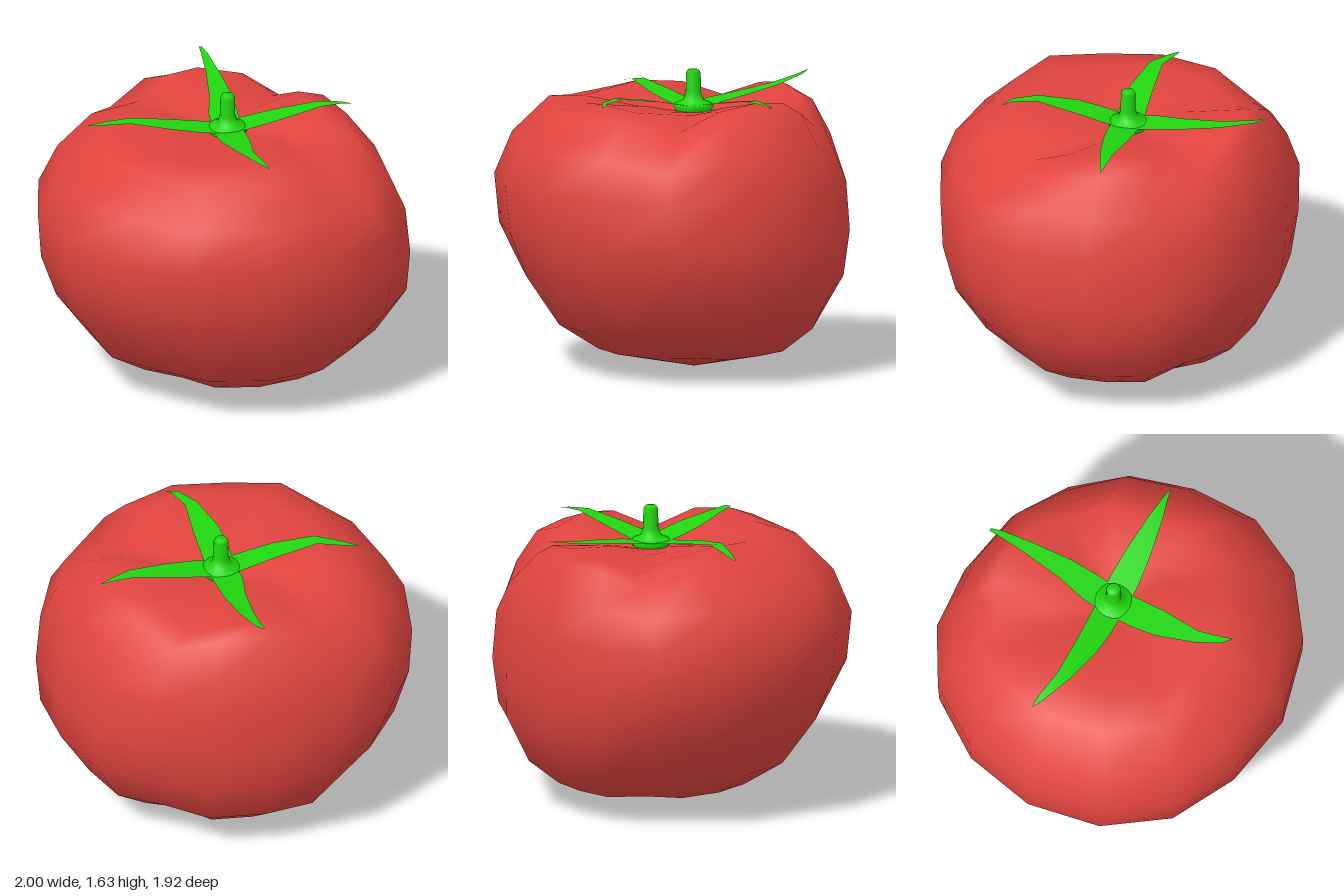
import * as THREE from 'three';
import { mergeVertices } from 'three/addons/utils/BufferGeometryUtils.js';

const RED = new THREE.MeshStandardMaterial({ color: 0xe0443f });
const GREEN = new THREE.MeshStandardMaterial({ color: 0x20d60f });
const LEAF = new THREE.MeshStandardMaterial({ color: 0x20d60f, side: THREE.DoubleSide });
const AXIS = { x: 0.065, z: -0.09 };

function surface(positions, indices) {
  let geometry = new THREE.BufferGeometry();
  geometry.setAttribute('position', new THREE.Float32BufferAttribute(positions, 3));
  geometry.setIndex(indices);
  geometry = mergeVertices(geometry);
  geometry.computeVertexNormals();
  return geometry;
}

// Lopsided fruit: one outline scaled into rings, with valleys on the diagonals
function fruitGeometry() {
  // [x, z] round the widest part, from +x towards +z
  const outline = [
    [0.99, -0.05], [0.98, 0.33], [0.8, 0.65], [0.47, 0.87], [0.05, 0.96], [-0.37, 0.87],
    [-0.72, 0.67], [-0.94, 0.33], [-1, -0.08], [-0.9, -0.48], [-0.67, -0.79], [-0.36, -0.95],
    [0, -0.96], [0.39, -0.87], [0.69, -0.67], [0.9, -0.4],
  ];
  // Valley depth per quadrant, in the same order
  const valleys = [0.12, -0.05, 0.08, 0.1];
  // [y, centreX, centreZ, radiusX, radiusZ, lobe height, valley share, diagonal pinch]
  const rings = [
    [0, 0.07, -0.09, 0, 0, 0, 0, 0],
    [0.12, 0.075, -0.075, 0.555, 0.545, 0, 0, 0.13],
    [0.26, 0.065, -0.055, 0.765, 0.745, 0, 0, 0.08],
    [0.52, 0.05, -0.035, 0.94, 0.895, 0, 0, 0.03],
    [0.77, 0.01, -0.01, 0.99, 0.95, 0, 0, 0],
    [1.04, -0.015, 0, 0.985, 0.96, 0, 0, 0],
    [1.25, -0.005, -0.01, 0.885, 0.89, 0, 0.5, 0],
    [1.435, 0.02, -0.05, 0.71, 0.75, 0.01, 1, 0],
    [1.477, 0.045, -0.085, 0.525, 0.635, 0.026, 0.7, 0],
    [1.44, AXIS.x, AXIS.z, 0.28, 0.3, 0.016, 0, 0],
    [1.41, AXIS.x, AXIS.z, 0.1, 0.1, 0, 0, 0],
    [1.4, AXIS.x, AXIS.z, 0, 0, 0, 0, 0],
  ];
  const sides = outline.length, last = rings.length - 1;
  const positions = [], indices = [];
  rings.forEach(([y, cx, cz, rx, rz, lobe, valley, pinch], i) => {
    outline.forEach(([ox, oz], j) => {
      const wave = Math.cos((8 * Math.PI * j) / sides);
      const diagonal = Math.max(0, -wave);
      const k = 1 - pinch * diagonal;
      const drop = valley * diagonal * valleys[Math.floor((4 * j) / sides)];
      positions.push(cx + (rx * k * (ox + 0.005)) / 0.995, y + lobe * wave - drop, cz + (rz * k * oz) / 0.96);
      const a = i * sides + j, b = i * sides + ((j + 1) % sides);
      if (i > 0 && i < last) indices.push(a, a + sides, b);
      if (i < last - 1) indices.push(b, a + sides, b + sides);
    });
  });
  return surface(positions, indices);
}

// Thin leaf along a midline of [x, y, z, half width]
function sepalGeometry(midline) {
  const positions = [], indices = [];
  const [first, last] = [midline[0], midline[midline.length - 1]];
  const along = new THREE.Vector2(last[0] - first[0], last[2] - first[2]).normalize();
  midline.forEach(([x, y, z, w], i) => {
    positions.push(x + along.y * w, y, z - along.x * w, x - along.y * w, y, z + along.x * w);
    if (i === 0) return;
    const a = 2 * i - 2;
    indices.push(a, a + 1, a + 2, a + 1, a + 3, a + 2);
  });
  return surface(positions, indices);
}

export function createModel() {
  const model = new THREE.Group();
  const add = (name, geometry, material) => {
    const mesh = new THREE.Mesh(geometry, material);
    mesh.name = name;
    model.add(mesh);
    return mesh;
  };

  add('fruit', fruitGeometry(), RED);

  // Stem with its flared foot
  const profile = [[0.1, 1.41], [0.112, 1.435], [0.1, 1.447], [0.055, 1.468], [0.042, 1.51],
    [0.04, 1.615], [0.03, 1.632], [0, 1.635]].map(([r, y]) => new THREE.Vector2(r, y));
  add('stem', new THREE.LatheGeometry(profile, 16), GREEN).position.set(AXIS.x, 0, AXIS.z);

  // Four sepals
  const sepals = {
    leftSepal: [[0.06, 1.43, -0.09, 0.08], [0.2, 1.457, -0.085, 0.08], [0.36, 1.485, -0.085, 0.068],
      [0.58, 1.52, -0.085, 0.037], [0.7, 1.512, -0.09, 0.014], [0.757, 1.5, -0.09, 0.003]],
    rightSepal: [[0.06, 1.43, -0.09, 0.08], [-0.1, 1.455, -0.09, 0.075], [-0.25, 1.482, -0.097, 0.066],
      [-0.47, 1.514, -0.127, 0.038], [-0.62, 1.487, -0.18, 0.02], [-0.69, 1.472, -0.205, 0.004]],
    frontSepal: [[0.06, 1.43, -0.09, 0.08], [0.05, 1.455, 0.05, 0.082], [0.045, 1.485, 0.2, 0.076],
      [0.055, 1.516, 0.42, 0.035], [0.1, 1.512, 0.55, 0.02], [0.135, 1.495, 0.595, 0.004]],
    backSepal: [[0.06, 1.43, -0.09, 0.08], [0.075, 1.455, -0.24, 0.08], [0.1, 1.478, -0.4, 0.062],
      [0.11, 1.508, -0.62, 0.038], [0.105, 1.545, -0.8, 0.018], [0.095, 1.56, -0.855, 0.008]],
  };
  for (const [name, midline] of Object.entries(sepals)) add(name, sepalGeometry(midline), LEAF);

  return model;
}
